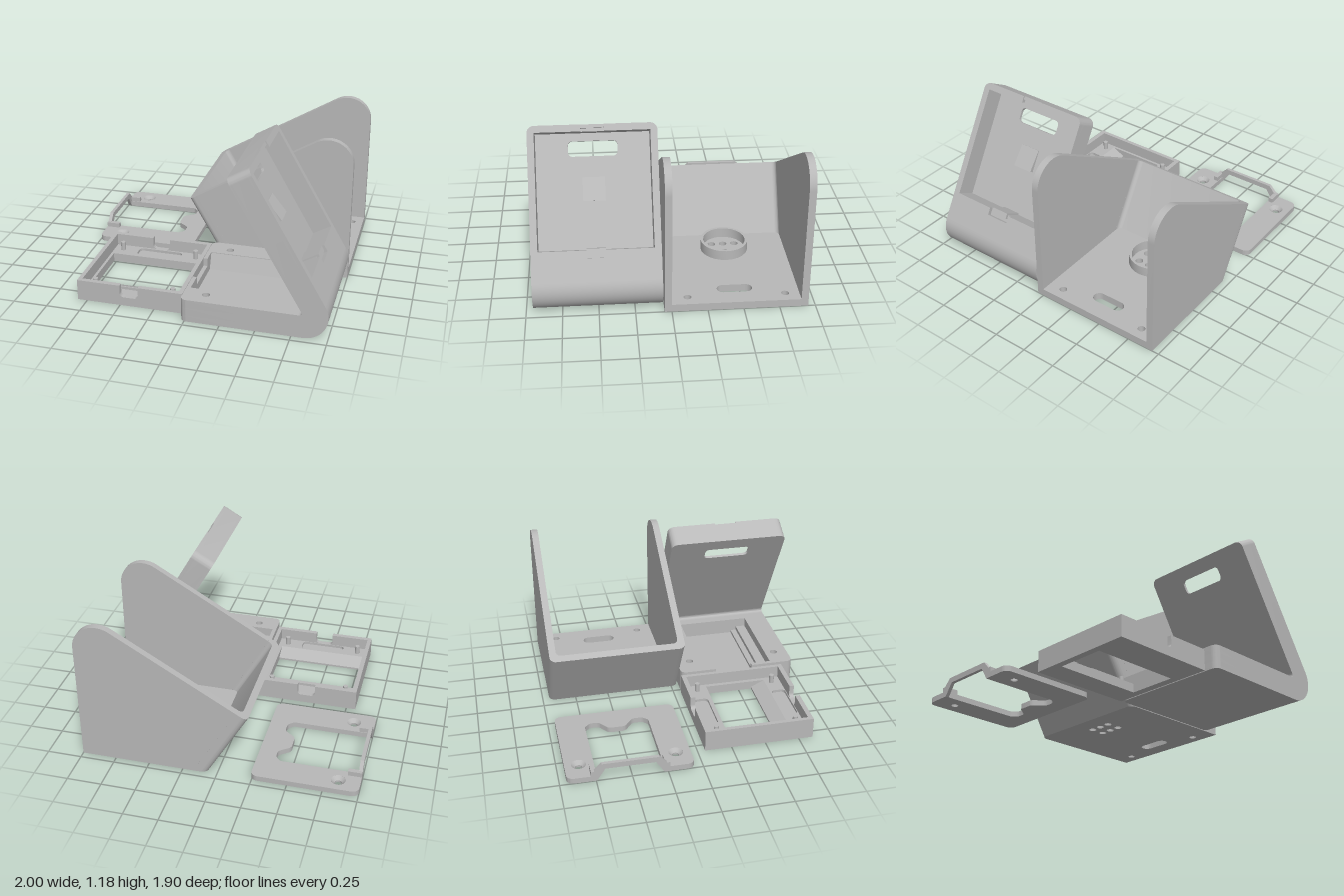
import * as THREE from 'three';
import { toCreasedNormals } from 'three/addons/utils/BufferGeometryUtils.js';

const grey = new THREE.MeshStandardMaterial({ color: 0xb8b8b8 });
grey.name = 'grey plastic';
const S = Math.sqrt(3) / 2; // the slanted parts stand at 60 degrees

function add(parent, name, geometry) {
  const mesh = new THREE.Mesh(toCreasedNormals(geometry, 0.5), grey);
  mesh.name = name;
  parent.add(mesh);
  return mesh;
}
const extrude = (shape, depth) =>
  new THREE.ExtrudeGeometry(shape, { depth, bevelEnabled: false, curveSegments: 12 });
// shape in (x, z), raised from y0 by h
const flat = (shape, y0, h) => extrude(shape, h).rotateX(Math.PI / 2).translate(0, y0 + h, 0);
// shape in (x, y), running from z0 by d
const alongZ = (shape, z0, d) => extrude(shape, d).translate(0, 0, z0);
// shape in (z, y), running from x0 by d
const alongX = (shape, x0, d) => extrude(shape, d).rotateY(-Math.PI / 2).translate(x0 + d, 0, 0);
const box = (x0, x1, y0, y1, z0, z1) =>
  new THREE.BoxGeometry(x1 - x0, y1 - y0, z1 - z0).translate((x0 + x1) / 2, (y0 + y1) / 2, (z0 + z1) / 2);

// polygon whose points may carry a corner radius: [x, y, r]
function poly(points) {
  const shape = new THREE.Shape();
  const n = points.length;
  points.forEach(([x, y, r = 0], i) => {
    const p = new THREE.Vector2(x, y);
    const toward = (q) => p.clone().add(new THREE.Vector2(q[0] - x, q[1] - y).setLength(r));
    const a = r ? toward(points[(i + n - 1) % n]) : p;
    if (i) shape.lineTo(a.x, a.y); else shape.moveTo(a.x, a.y);
    if (r) {
      const b = toward(points[(i + 1) % n]);
      // cubic handles approximate a round corner
      const c1 = a.clone().lerp(p, 0.552), c2 = b.clone().lerp(p, 0.552);
      shape.bezierCurveTo(c1.x, c1.y, c2.x, c2.y, b.x, b.y);
    }
  });
  shape.closePath();
  return shape;
}
const rect = (x0, x1, y0, y1, r = 0) => poly([[x0, y0, r], [x1, y0, r], [x1, y1, r], [x0, y1, r]]);
const circle = (x, y, r) => new THREE.Shape().absarc(x, y, r, 0, Math.PI * 2, false);
function holed(shape, ...holes) {
  shape.holes.push(...holes);
  return shape;
}

// Open cradle with two tall cheeks and a slanted front wall
function cradle() {
  const g = new THREE.Group();
  g.name = 'cradle';
  const holes = [rect(0.785, 0.875, -0.58, -0.33, 0.045), circle(0.915, -0.8, 0.027), circle(0.915, -0.115, 0.027)];
  for (const x of [0.23, 0.335]) for (const z of [-0.535, -0.45, -0.365]) holes.push(circle(x, z, 0.028));
  add(g, 'cradleFloor', flat(holed(rect(0.08, 1, -0.91, 0.01), ...holes), 0, 0.055));
  add(g, 'speakerRing', flat(holed(circle(0.285, -0.45, 0.175), circle(0.285, -0.45, 0.155)), 0.055, 0.075));

  const cheek = new THREE.Shape();
  cheek.moveTo(-0.142, 0.545);
  cheek.lineTo(0.173, 0);
  cheek.lineTo(1, 0);
  cheek.absarc(0.82, 0.9, 0.18, 0, (Math.PI * 2) / 3, false);
  cheek.closePath();
  for (const z of [-0.95, 0]) add(g, 'cheek', alongZ(cheek, z, 0.05));

  // U-shaped section swept down the slope, its lower end trimmed at the ground
  const section = poly([[0, -0.95, 0.045], [0.09, -0.95], [0.09, -0.9], [0.05, -0.9, 0.035],
    [0.05, 0, 0.035], [0.09, 0], [0.09, 0.05], [0, 0.05, 0.045]]);
  const wall = extrude(section, 1);
  const p = wall.attributes.position;
  for (let i = 0; i < p.count; i++) {
    const a = p.getX(i), z = p.getY(i);
    const t = p.getZ(i) * (0.5 + a * 0.5) / S;
    p.setXYZ(i, -0.22 + a * S + t * 0.5, 0.5 + a * 0.5 - t * S, z);
  }
  add(g, 'slantedWall', wall);
  return g;
}

// L-shaped stand: hollow foot, round elbow and leaning tray
function stand() {
  const g = new THREE.Group();
  g.name = 'stand';
  const z0 = 0.06, z1 = 0.95, zc = 0.505;
  const foot = () => rect(-0.03, 0.83, z0, z1);
  const corners = [[0.83, z0], [0.83, z1], [-0.03, z1, 0.045]];
  const pocket = () => rect(0, 0.72, 0.225, 0.775);
  const screws = () => [0.16, 0.845].map((z) => circle(0.13, z, 0.028));
  const plain = () => poly([[-0.03, z0, 0.045], ...corners]);
  add(g, 'footFloor', flat(plain(), 0, 0.05));
  add(g, 'footWall', flat(holed(plain(), pocket(), ...screws()), 0.05, 0.06));
  // upper rim with a cable gap on the outer end
  const rim = poly([[-0.03, z0, 0.045], ...corners, [-0.03, 0.62], [0, 0.62], [0, 0.775],
    [0.72, 0.775], [0.72, 0.225], [0, 0.225], [0, 0.335], [-0.03, 0.335]]);
  add(g, 'footRim', flat(holed(rim, ...screws()), 0.11, 0.06));
  add(g, 'pocketRamp', alongX(poly([[0.225, 0.05], [0.27, 0.05], [0.225, 0.165]]), 0, 0.72));
  add(g, 'pocketStep', box(0, 0.72, 0.05, 0.1, 0.7, 0.775));
  add(g, 'pocketLedge', box(0, 0.72, 0.05, 0.07, 0.655, 0.7));

  const elbow = new THREE.Shape();
  elbow.moveTo(0.79, 0.17);
  elbow.lineTo(0.79, 0);
  elbow.lineTo(0.83, 0);
  elbow.absarc(0.83, 0.17, 0.17, -Math.PI / 2, Math.PI / 6, false);
  elbow.lineTo(0.81, 0.205);
  elbow.quadraticCurveTo(0.83, 0.17, 0.79, 0.17);
  add(g, 'elbow', alongZ(elbow, z0, z1 - z0));

  // tray, drawn in its own plane: across, up the slope, out of the face
  const tray = new THREE.Group();
  tray.name = 'tray';
  tray.position.set(0.83, 0.17, zc);
  tray.quaternion.setFromRotationMatrix(new THREE.Matrix4().makeBasis(
    new THREE.Vector3(0, 0, -1), new THREE.Vector3(-0.5, S, 0), new THREE.Vector3(S, 0.5, 0)));
  g.add(tray);
  const w = 0.445, top = 1.07;
  const outline = () => poly([[-w, 0], [w, 0], [w, top, 0.05], [-w, top, 0.05]]);
  add(tray, 'trayBack', alongZ(holed(outline(), rect(-0.172, 0.172, 0.86, 0.967, 0.03)), 0, 0.02));
  add(tray, 'trayFrame', alongZ(holed(outline(), rect(-0.397, 0.397, 0.214, 1.022)), 0.02, 0.12));
  const lip = poly([[-w, 0], [w, 0], [w, top, 0.05], [0.08, top], [0.08, 1.022], [0.397, 1.022],
    [0.397, 0.214], [0.088, 0.214], [0.088, 0.16], [-0.088, 0.16], [-0.088, 0.214],
    [-0.397, 0.214], [-0.397, 1.022], [-0.08, 1.022], [-0.08, top], [-w, top, 0.05]]);
  add(tray, 'trayLip', alongZ(lip, 0.14, 0.03));
  add(tray, 'topBridge', box(-0.08, 0.08, 1.045, top, 0.14, 0.16));
  add(tray, 'clip', box(-0.065, 0.065, 0.185, 0.225, 0.02, 0.16));
  // small wedge-shaped catch, thickest at its lower edge
  add(tray, 'catch', extrude(poly([[0, 0.55], [0.03, 0.55], [0.006, 0.715], [0, 0.715]]), 0.155)
    .rotateY(-Math.PI / 2).translate(0.0775, 0, 0.02));
  return g;
}

// Shallow open frame with a window, posts and two notched walls
function bezel() {
  const g = new THREE.Group();
  g.name = 'bezel';
  const x0 = -0.82, x1 = -0.04, z0 = 0.055, z1 = 0.855, h = 0.155;
  const slots = [rect(-0.6, -0.26, 0.105, 0.21, 0.03), rect(-0.6, -0.26, 0.71, 0.815, 0.03)];
  add(g, 'bezelBase', flat(holed(rect(x0, x1, z0, z1), rect(-0.77, -0.1, 0.24, 0.7)), 0, 0.045));
  add(g, 'bezelFloor', flat(holed(rect(x0, x1, z0, z1), rect(-0.77, -0.1, 0.24, 0.7), ...slots), 0.045, 0.02));
  add(g, 'windowSlope', alongX(poly([[0.6, 0], [0.7, 0], [0.7, 0.065], [0.6, 0.015]]), -0.77, 0.67));
  const notched = poly([[x0, 0], [x1, 0], [x1, h], [-0.365, h], [-0.365, 0.065, 0.03],
    [-0.5, 0.065, 0.03], [-0.5, h], [x0, h]]);
  for (const z of [z0, z1 - 0.035]) add(g, 'notchedWall', alongZ(notched, z, 0.035));
  for (const x of [x0, x1 - 0.03]) add(g, 'sideWall', box(x, x + 0.03, 0, h, z0, z1));
  for (const x of [-0.72, -0.14]) for (const z of [0.16, 0.75]) {
    add(g, 'post', new THREE.CylinderGeometry(0.018, 0.018, 0.065, 20).translate(x, 0.0975, z));
  }
  return g;
}

// Flat cover plate with a cut-out, countersunk holes and a raised strap
function cover() {
  const g = new THREE.Group();
  g.name = 'cover';
  const screwZ = [-0.85, -0.165];
  const plate = poly([[-1, -0.95, 0.05], [-0.24, -0.95, 0.05], [-0.24, -0.06, 0.05], [-1, -0.06, 0.05],
    [-1, -0.24], [-0.975, -0.275], [-0.41, -0.275, 0.01], [-0.37, -0.315, 0.015], [-0.37, -0.39, 0.02],
    [-0.455, -0.455, 0.02], [-0.455, -0.575, 0.02], [-0.37, -0.64, 0.02], [-0.37, -0.705, 0.015],
    [-0.41, -0.745, 0.01], [-0.975, -0.745], [-1, -0.78]]);
  add(g, 'coverPlate', flat(holed(plate, ...screwZ.map((z) => circle(-0.845, z, 0.052))), 0, 0.04));
  const sink = [[0.025, 0], [0.052, 0], [0.052, 0.04], [0.025, 0.015], [0.025, 0]];
  for (const z of screwZ) {
    add(g, 'countersink', new THREE.LatheGeometry(sink.map((q) => new THREE.Vector2(...q)), 32)
      .translate(-0.845, 0, z));
  }
  const strap = poly([[-0.785, 0], [-0.745, 0], [-0.685, 0.09], [-0.335, 0.09], [-0.275, 0],
    [-0.235, 0], [-0.235, 0.05], [-0.31, 0.13], [-0.71, 0.13], [-0.785, 0.05]]);
  add(g, 'strap', alongX(strap, -1, 0.026));
  for (const z of [-0.785, -0.27]) add(g, 'strapRib', box(-1, -0.9, 0.03, 0.075, z, z + 0.035));
  return g;
}

export function createModel() {
  const model = new THREE.Group();
  model.name = 'deviceStandKit';
  model.add(cradle(), stand(), bezel(), cover());
  return model;
}
